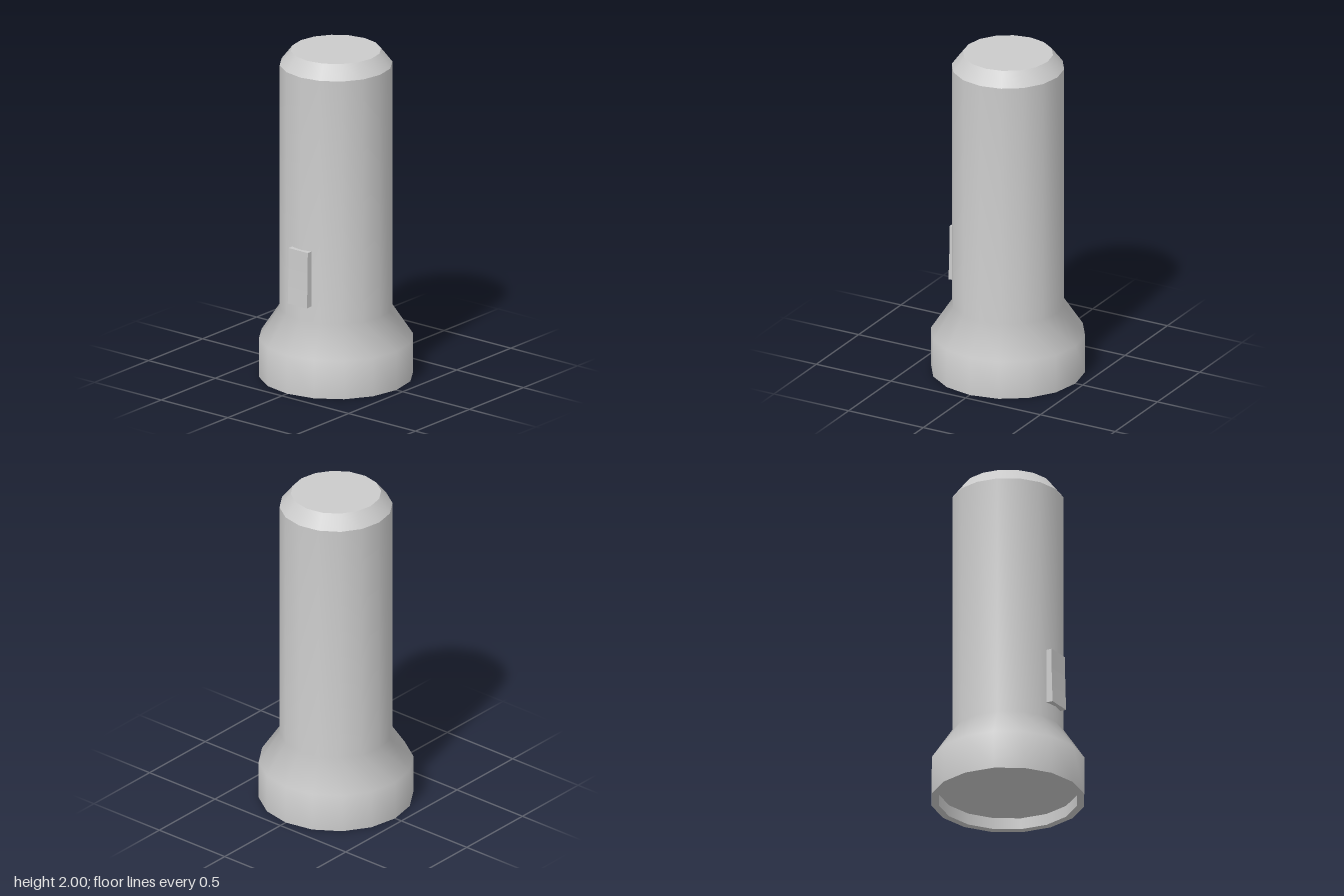
import * as THREE from 'three';

const material = new THREE.MeshStandardMaterial({ color: 0xcccccc });

// Surface of revolution with 16 sides; profile runs bottom to top on the outside
function turned(name, points) {
  const profile = points.map(([r, y]) => new THREE.Vector2(r, y));
  const mesh = new THREE.Mesh(new THREE.LatheGeometry(profile, 16), material);
  mesh.name = name;
  return mesh;
}

export function createModel() {
  const torch = new THREE.Group();
  torch.name = 'flashlight';

  // Each piece is smooth within itself, with sharp edges where pieces meet
  torch.add(
    turned('lens', [[0, 0.07], [0.41, 0.07]]),
    turned('lensRecessWall', [[0.41, 0.07], [0.41, 0]]),
    turned('headRim', [[0.41, 0], [0.452, 0]]),
    turned('headAndBarrel', [[0.452, 0], [0.452, 0.235], [0.33, 0.42], [0.33, 1.915]]),
    turned('tailBevel', [[0.33, 1.915], [0.264, 2]]),
    turned('tailCap', [[0.264, 2], [0, 2]]),
  );

  // Slide switch: side profile (z, y) extruded across the barrel
  const side = new THREE.Shape([
    [0.3, 0.52], [0.358, 0.515], [0.354, 0.62], [0.351, 0.73], [0.35, 0.855], [0.3, 0.855],
  ].map(([z, y]) => new THREE.Vector2(z, y)));
  const width = 0.144;
  const switchGeometry = new THREE.ExtrudeGeometry(side, { depth: width, bevelEnabled: false });
  switchGeometry.translate(0, 0, -width / 2).rotateY(-Math.PI / 2);
  const slideSwitch = new THREE.Mesh(switchGeometry, material);
  slideSwitch.name = 'slideSwitch';
  torch.add(slideSwitch);

  return torch;
}
